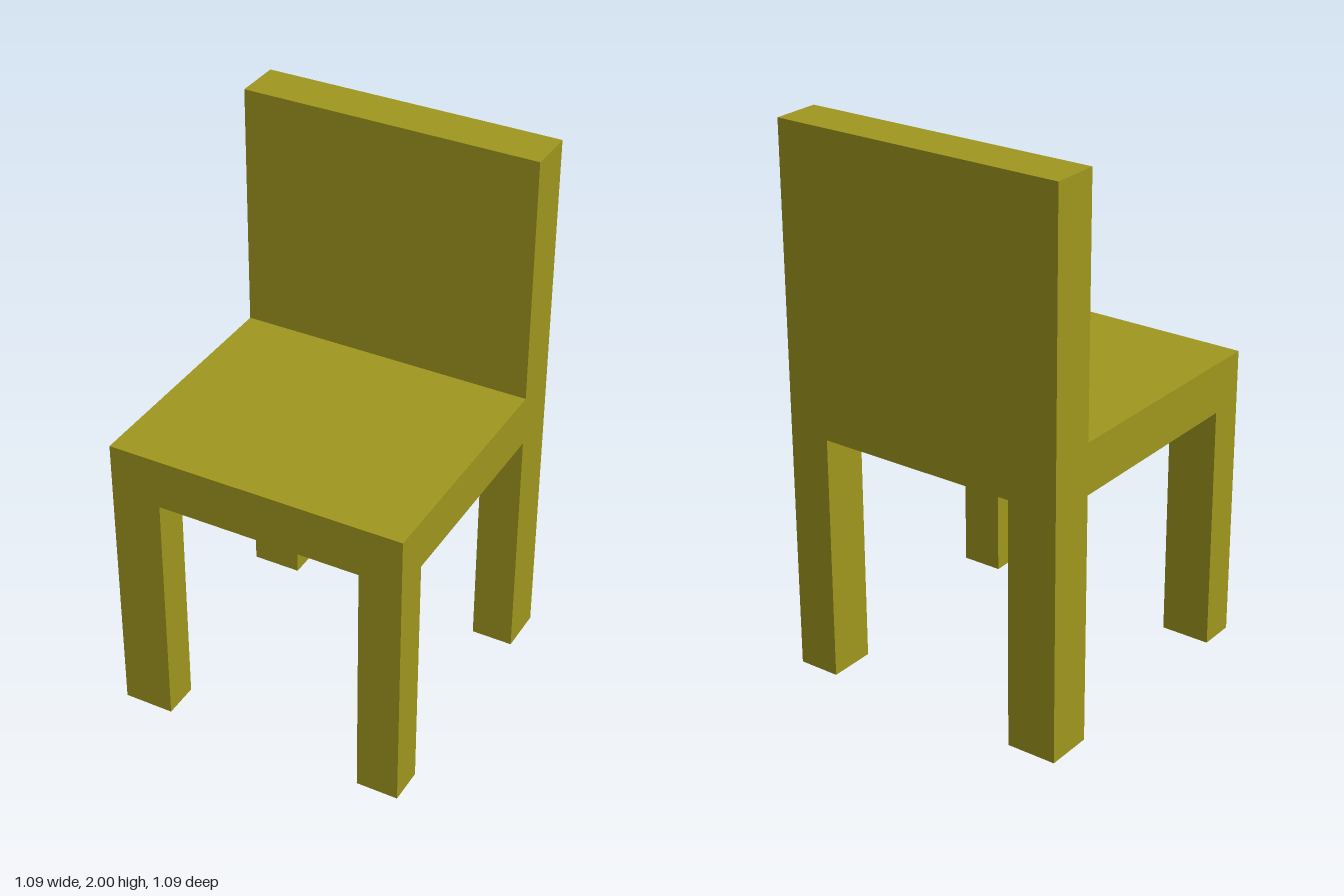
import * as THREE from 'three';

export function createModel() {
  const chair = new THREE.Group();
  chair.name = 'chair';
  const material = new THREE.MeshStandardMaterial({ color: 0x9f971e, flatShading: true });

  // Box given by its extents along each axis
  function slab(name, [x0, x1], [y0, y1], [z0, z1]) {
    const mesh = new THREE.Mesh(new THREE.BoxGeometry(x1 - x0, y1 - y0, z1 - z0), material);
    mesh.position.set((x0 + x1) / 2, (y0 + y1) / 2, (z0 + z1) / 2);
    mesh.name = name;
    chair.add(mesh);
  }

  const half = 0.545;
  const legTop = 0.91;
  const width = [-half, half];
  const backDepth = [-half, -0.37];

  // Seat meets the front face of the backrest
  slab('seat', width, [legTop, 1.095], [-0.37, half]);
  slab('backrest', width, [legTop, 2], backDepth);

  // Four legs: the right pair is slightly wider, the back pair slightly deeper
  const sides = { Right: [-half, -0.36], Left: [0.39, half] };
  const rows = { front: [0.41, half], back: backDepth };
  for (const [row, z] of Object.entries(rows)) {
    for (const [side, x] of Object.entries(sides)) {
      slab(`${row}${side}Leg`, x, [0, legTop], z);
    }
  }

  return chair;
}
